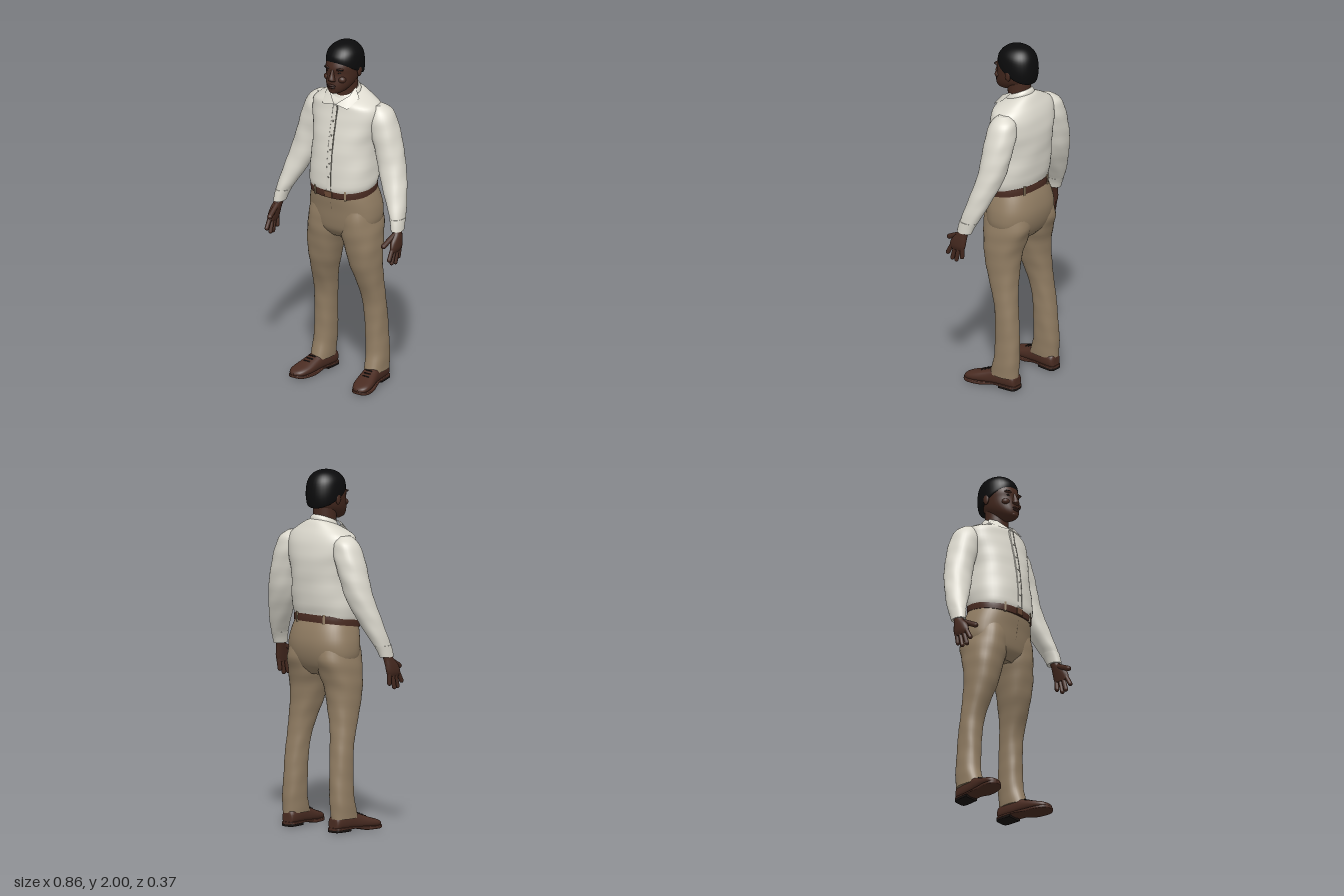
import * as THREE from 'three';

const mat = (name, color, side = THREE.FrontSide) => {
  const m = new THREE.MeshStandardMaterial({ color, side });
  m.name = name;
  return m;
};

// Smooth loft through rings [y, centreX, halfWidth, zBack, zFront, tilt], listed from low y to high y
function loft(sections, { n = 32, p = 2.2, steps = 4, wrinkle = 0 } = {}) {
  const rows = [], S = sections, last = S.length - 1;
  for (let i = 0; i < last; i++) {
    for (let k = 0; k < steps + (i === last - 1 ? 1 : 0); k++) {
      const t = k / steps, a = S[Math.max(i - 1, 0)], b = S[i], c = S[i + 1], d = S[Math.min(i + 2, last)];
      rows.push([0, 1, 2, 3, 4, 5].map((q) => {
        const [v0, v1, v2, v3] = [a, b, c, d].map((s) => s[q] ?? 0);
        return 0.5 * (2 * v1 + (v2 - v0) * t + (2 * v0 - 5 * v1 + 4 * v2 - v3) * t * t
          + (3 * v1 - v0 - 3 * v2 + v3) * t * t * t);
      }));
    }
  }
  const pos = [], idx = [];
  const bend = (v) => Math.sign(v) * Math.pow(Math.abs(v), 2 / p);
  const ring = ([y, x, w, zb, zf, tilt]) => {
    for (let j = 0; j < n; j++) {
      const a = (j / n) * Math.PI * 2;
      const f = 1 + wrinkle * Math.sin(y * 46 + 3 * a) * Math.sin(y * 19 - 2 * a);
      const z = (zb + zf) / 2 + bend(Math.sin(a)) * ((zf - zb) / 2) * f;
      pos.push(x + bend(Math.cos(a)) * w * f, y + tilt * z, z);
    }
  };
  rows.forEach(ring);
  for (let i = 0; i < rows.length - 1; i++) {
    for (let j = 0; j < n; j++) {
      const a = i * n + j, b = i * n + ((j + 1) % n);
      idx.push(a, a + n, b, b, a + n, b + n);
    }
  }
  // End caps with their own ring so the rim stays crisp
  [rows[0], rows[rows.length - 1]].forEach((r, top) => {
    const base = pos.length / 3, z = (r[3] + r[4]) / 2;
    ring(r);
    pos.push(r[1], r[0] + r[5] * z, z);
    for (let j = 0; j < n; j++) {
      const a = base + j, b = base + ((j + 1) % n);
      idx.push(...(top ? [a, base + n, b] : [a, b, base + n]));
    }
  });
  return surface(pos, idx);
}

function surface(pos, idx) {
  const g = new THREE.BufferGeometry();
  g.setAttribute('position', new THREE.Float32BufferAttribute(pos, 3));
  g.setIndex(idx);
  g.computeVertexNormals();
  return g;
}

function mirrored(geo) {
  const g = geo.clone(), ix = g.index.array;
  g.scale(-1, 1, 1);
  for (let i = 0; i < ix.length; i += 3) [ix[i], ix[i + 1]] = [ix[i + 1], ix[i]];
  g.computeVertexNormals();
  return g;
}

const ball = (x, y, z, rx, ry, rz) => new THREE.SphereGeometry(1, 16, 12).scale(rx, ry, rz).translate(x, y, z);

// Rounded finger between two points
function finger(a, b, r) {
  const A = new THREE.Vector3(...a), B = new THREE.Vector3(...b), d = B.clone().sub(A);
  const g = new THREE.CapsuleGeometry(r, d.length(), 5, 10);
  g.applyQuaternion(new THREE.Quaternion().setFromUnitVectors(new THREE.Vector3(0, 1, 0), d.normalize()));
  return g.translate(...A.add(B).multiplyScalar(0.5).toArray());
}

export function createModel() {
  const root = new THREE.Group();
  root.name = 'standingMan';
  const shirt = mat('shirtCream', 0xdcd9ce, THREE.DoubleSide), seam = mat('seamGrey', 0x8d897e);
  const khaki = mat('trouserKhaki', 0x917d63), khakiDark = mat('trouserSeam', 0x5f5140);
  const leather = mat('brownLeather', 0x4a2c22), buckle = mat('buckleBrown', 0x6a4935);
  const skin = mat('skinBrown', 0x45291f), lip = mat('lipBrown', 0x38201a);
  const hair = mat('hairBlack', 0x0b0b0c), heel = mat('heelBlack', 0x17110f);

  const add = (name, geo, m) => {
    const mesh = new THREE.Mesh(geo, m);
    mesh.name = name;
    root.add(mesh);
  };
  const pair = (name, geo, m) => {
    add(name + 'Left', geo, m);
    add(name + 'Right', mirrored(geo), m);
  };

  // Shirt body
  add('shirtBody', loft([
    [1.15, 0, 0.178, -0.138, 0.138, -0.15], [1.195, 0, 0.196, -0.15, 0.155, -0.12],
    [1.28, 0, 0.197, -0.166, 0.15, -0.03], [1.4, 0, 0.188, -0.176, 0.136, 0],
    [1.5, 0, 0.2, -0.181, 0.117, 0], [1.58, 0, 0.212, -0.174, 0.097, 0],
    [1.635, 0, 0.205, -0.155, 0.086, -0.05], [1.665, 0, 0.16, -0.135, 0.08, -0.15],
    [1.69, 0, 0.1, -0.112, 0.07, -0.3], [1.7, 0, 0.07, -0.09, 0.05, -0.35],
  ], { n: 48, p: 2.35, wrinkle: 0.012 }), shirt);

  // Button placket, its seam and buttons
  const front = [[1.165, 0.153], [1.28, 0.15], [1.4, 0.137], [1.5, 0.119], [1.58, 0.1], [1.65, 0.087]];
  const strip = (x, w, out) => loft(front.map(([y, z]) => [y, x, w, z - 0.012, z + out]), { n: 12, p: 6 });
  add('placket', strip(0, 0.014, 0.004), shirt);
  add('placketSeam', strip(0.0145, 0.0018, 0.0045), seam);
  for (let i = 0; i < 5; i++) {
    const y = 1.24 + i * 0.08, k = front.findIndex((f) => f[0] > y), [y0, z0] = front[k - 1], [y1, z1] = front[k];
    add('button', ball(0, y, z0 + ((z1 - z0) * (y - y0)) / (y1 - y0) + 0.004, 0.005, 0.005, 0.003), seam);
  }

  // Collar stand and folded points
  add('collarStand', loft([
    [1.675, 0, 0.085, -0.105, 0.06, -0.4], [1.7, 0, 0.08, -0.1, 0.055, -0.42], [1.718, 0, 0.068, -0.088, 0.04, -0.42],
  ], { n: 32, p: 2 }), shirt);
  pair('collarPoint', surface([
    0.062, 1.735, -0.02, 0.004, 1.655, 0.094, 0.085, 1.642, 0.094, 0.112, 1.69, 0.015, 0.066, 1.705, 0.045,
  ], [0, 4, 3, 4, 1, 2, 4, 2, 3]), shirt);

  // Sleeves and cuffs
  pair('sleeve', loft([
    [1.0, 0.393, 0.03, 0.004, 0.094], [1.05, 0.383, 0.038, -0.02, 0.087], [1.1, 0.365, 0.05, -0.045, 0.075],
    [1.2, 0.327, 0.069, -0.085, 0.05], [1.3, 0.29, 0.079, -0.12, 0.03], [1.4, 0.264, 0.08, -0.14, 0.022],
    [1.5, 0.232, 0.083, -0.148, 0.022], [1.57, 0.212, 0.078, -0.145, 0.018],
    [1.62, 0.2, 0.062, -0.13, 0.0], [1.65, 0.19, 0.03, -0.09, -0.03],
  ], { p: 2.1, wrinkle: 0.025 }), shirt);
  pair('cuff', loft([
    [0.985, 0.396, 0.031, 0.008, 0.1], [1.02, 0.39, 0.035, -0.006, 0.095], [1.05, 0.383, 0.04, -0.022, 0.089],
  ], { p: 2.1 }), shirt);

  // Hands
  pair('palm', loft([
    [0.875, 0.411, 0.012, 0.048, 0.138], [0.9, 0.412, 0.019, 0.038, 0.142], [0.94, 0.407, 0.023, 0.034, 0.126],
    [0.98, 0.399, 0.024, 0.03, 0.09], [1.02, 0.392, 0.023, 0.015, 0.078],
  ], { n: 20 }), skin);
  [[0.128, 0.157, 0.842], [0.104, 0.128, 0.815], [0.079, 0.098, 0.812], [0.055, 0.062, 0.835]].forEach(([z0, z1, y], i) =>
    pair('finger', finger([0.412, 0.895, z0], [0.412 - 0.004 * (i % 2), y, z1], 0.0125), skin));
  pair('thumb', finger([0.395, 0.965, 0.085], [0.383, 0.922, 0.17], 0.015), skin);

  // Trousers
  add('trouserSeat', loft([
    [0.865, 0, 0.11, -0.1, 0.07], [0.91, 0, 0.18, -0.142, 0.108], [0.97, 0, 0.212, -0.167, 0.122],
    [1.04, 0, 0.213, -0.176, 0.13], [1.1, 0, 0.2, -0.165, 0.138, -0.06], [1.15, 0, 0.184, -0.144, 0.142, -0.15],
  ], { n: 48, p: 2.35 }), khaki);
  pair('trouserLeg', loft([
    [0.075, 0.18, 0.056, -0.142, 0.034], [0.13, 0.178, 0.058, -0.145, 0.016], [0.2, 0.175, 0.059, -0.145, 0.002],
    [0.3, 0.17, 0.059, -0.14, 0.0], [0.4, 0.167, 0.061, -0.131, 0.002], [0.5, 0.161, 0.064, -0.12, 0.012],
    [0.6, 0.151, 0.071, -0.112, 0.046], [0.7, 0.138, 0.085, -0.11, 0.08], [0.8, 0.127, 0.098, -0.118, 0.1],
    [0.88, 0.113, 0.108, -0.14, 0.113], [0.96, 0.107, 0.104, -0.163, 0.12], [1.04, 0.1, 0.09, -0.15, 0.115],
  ], { p: 2.3, wrinkle: 0.018 }), khaki);
  add('flySeam', loft([
    [0.98, 0, 0.0015, 0.11, 0.1245], [1.04, 0.004, 0.0015, 0.11, 0.1315], [1.11, 0.004, 0.0015, 0.12, 0.1415],
  ], { n: 8 }), khakiDark);
  // Slanted front pocket edges
  pair('pocketEdge', new THREE.TubeGeometry(new THREE.CatmullRomCurve3([
    new THREE.Vector3(0.14, 1.115, 0.094), new THREE.Vector3(0.17, 1.06, 0.065), new THREE.Vector3(0.199, 1.0, 0.02),
  ]), 10, 0.003, 6), khakiDark);

  // Belt, buckle and loops
  add('belt', loft([
    [1.14, 0, 0.19, -0.15, 0.15, -0.15], [1.162, 0, 0.191, -0.151, 0.152, -0.15], [1.182, 0, 0.19, -0.149, 0.151, -0.15],
  ], { n: 48, p: 2.35 }), leather);
  add('buckle', new THREE.BoxGeometry(0.045, 0.036, 0.008).translate(0, 1.139, 0.153), buckle);
  for (const [x, y, z, turn] of [[0.1, 1.143, 0.135, 0.5], [0.1, 1.181, -0.135, -0.5]]) {
    pair('beltLoop', new THREE.BoxGeometry(0.012, 0.055, 0.012).rotateY(turn).translate(x, y, z), khaki);
  }

  // Shoes, lofted heel to toe along z: [z, x, halfWidth, -top, -bottom]
  const shoe = (s, p) => loft(s, { n: 24, p }).rotateX(Math.PI / 2);
  pair('shoeUpper', shoe([
    [-0.142, 0.172, 0.022, -0.07, -0.012], [-0.132, 0.172, 0.04, -0.092, -0.01], [-0.08, 0.175, 0.046, -0.108, -0.01],
    [-0.01, 0.183, 0.047, -0.108, -0.01], [0.04, 0.191, 0.052, -0.09, -0.01], [0.1, 0.202, 0.057, -0.068, -0.01],
    [0.145, 0.21, 0.051, -0.054, -0.01], [0.172, 0.213, 0.034, -0.042, -0.01], [0.183, 0.215, 0.01, -0.03, -0.012],
  ], 2.5), leather);
  pair('shoeSole', shoe([
    [-0.145, 0.172, 0.024, -0.026, -0.012], [-0.13, 0.172, 0.044, -0.027, -0.012], [-0.06, 0.177, 0.046, -0.027, -0.014],
    [0.0, 0.185, 0.048, -0.026, -0.012], [0.06, 0.195, 0.056, -0.022, 0], [0.11, 0.204, 0.06, -0.02, 0],
    [0.15, 0.211, 0.053, -0.02, 0], [0.175, 0.214, 0.036, -0.022, -0.003], [0.186, 0.215, 0.012, -0.022, -0.008],
  ], 5), leather);
  pair('shoeHeel', shoe([
    [-0.144, 0.172, 0.026, -0.02, 0], [-0.13, 0.172, 0.043, -0.02, 0], [-0.045, 0.178, 0.044, -0.02, 0],
  ], 6), heel);
  for (let i = 0; i < 3; i++) {
    pair('lace', new THREE.CapsuleGeometry(0.004, 0.035, 3, 6).rotateZ(Math.PI / 2)
      .translate(0.19 + i * 0.004, 0.094 - i * 0.009, 0.035 + i * 0.021), heel);
  }

  // Neck and head
  add('neck', loft([
    [1.63, 0, 0.068, -0.09, 0.055], [1.7, 0, 0.065, -0.084, 0.045], [1.8, 0, 0.066, -0.085, 0.05],
  ], { p: 2 }), skin);
  add('head', loft([
    [1.722, 0, 0.02, 0.045, 0.102], [1.735, 0, 0.042, 0.01, 0.122], [1.76, 0, 0.064, -0.04, 0.128],
    [1.795, 0, 0.08, -0.085, 0.124], [1.84, 0, 0.088, -0.1, 0.116], [1.875, 0, 0.091, -0.108, 0.118],
    [1.915, 0, 0.088, -0.105, 0.102], [1.955, 0, 0.074, -0.09, 0.072], [1.98, 0, 0.04, -0.06, 0.04],
  ], { p: 2.1 }), skin);
  add('hair', loft([
    [1.845, 0, 0.092, -0.105, 0.098, 0.5], [1.855, 0, 0.099, -0.119, 0.106, 0.48], [1.9, 0, 0.1, -0.128, 0.103, 0.33],
    [1.945, 0, 0.092, -0.119, 0.088, 0.14], [1.975, 0, 0.07, -0.095, 0.066, 0.05],
    [1.993, 0, 0.04, -0.06, 0.035], [2.0, 0, 0.006, -0.015, -0.003],
  ], { p: 2.15 }), hair);

  // Face
  add('nose', loft([
    [1.798, 0, 0.016, 0.1, 0.124], [1.806, 0, 0.023, 0.1, 0.138], [1.815, 0, 0.02, 0.1, 0.143],
    [1.84, 0, 0.012, 0.095, 0.132], [1.87, 0, 0.009, 0.095, 0.119],
  ], { n: 16, p: 2 }), skin);
  add('upperLip', ball(0, 1.777, 0.126, 0.028, 0.007, 0.009), lip);
  add('lowerLip', ball(0, 1.766, 0.126, 0.024, 0.007, 0.009), lip);
  add('chin', ball(0, 1.742, 0.11, 0.026, 0.016, 0.017), skin);
  pair('ear', ball(0.094, 1.842, -0.012, 0.009, 0.031, 0.019).rotateY(0), skin);
  pair('cheek', ball(0.045, 1.812, 0.09, 0.026, 0.02, 0.022), skin);
  pair('browRidge', ball(0.036, 1.872, 0.1, 0.027, 0.009, 0.017), skin);
  pair('eyebrow', ball(0.038, 1.874, 0.108, 0.022, 0.004, 0.011).rotateY(0.03), hair);
  pair('eye', ball(0.036, 1.852, 0.102, 0.014, 0.005, 0.008), heel);

  return root;
}
